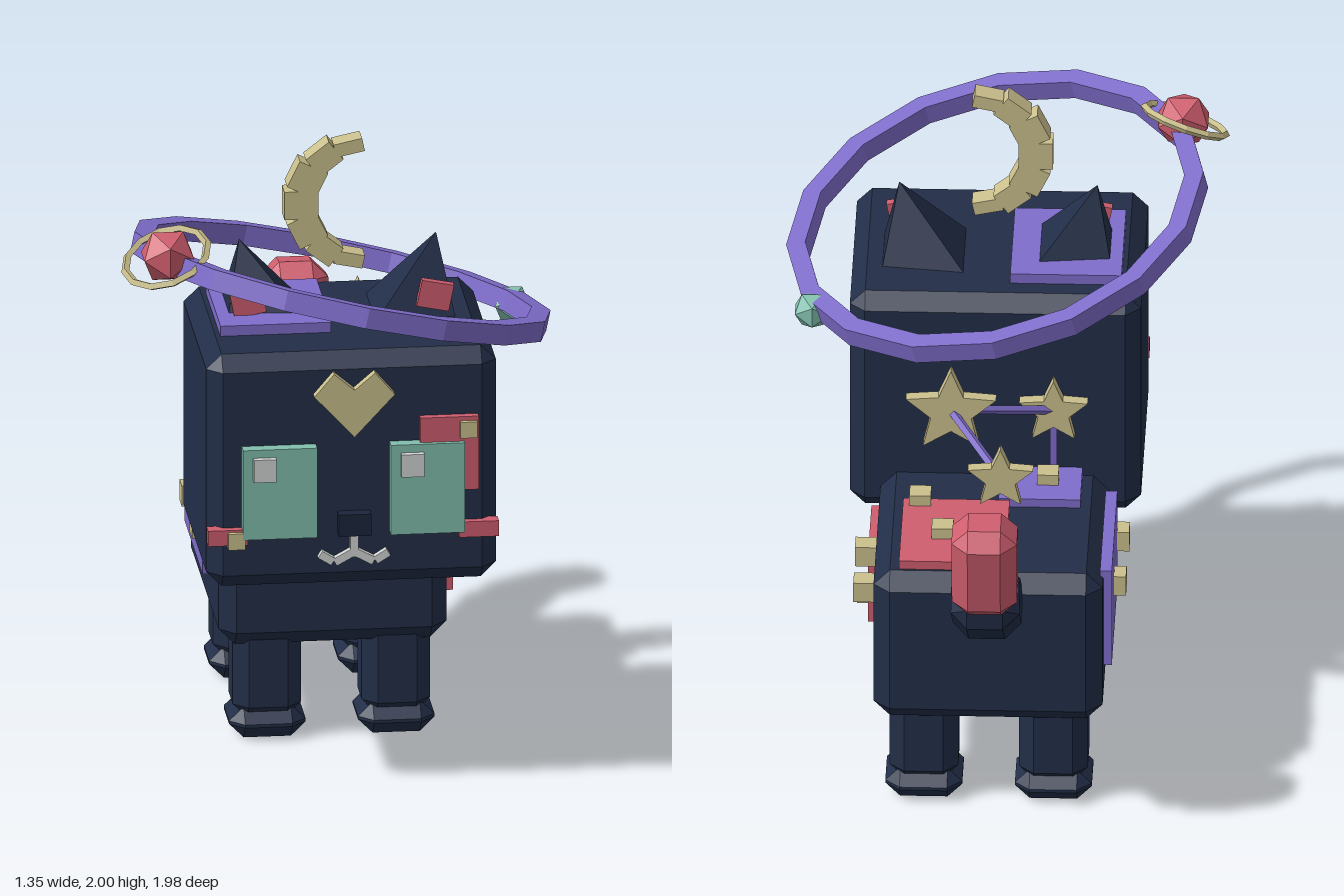
import * as THREE from 'three';
import { ConvexGeometry } from 'three/addons/geometries/ConvexGeometry.js';

const paint = (name, color) => {
  const m = new THREE.MeshStandardMaterial({ color });
  m.name = name;
  return m;
};

export function createModel() {
  const navy = paint('navy', 0x222e48);
  const darkNavy = paint('dark navy', 0x1b253b);
  const purple = paint('purple', 0x7f6dcb);
  const red = paint('coral red', 0xcf5e6e);
  const gold = paint('pale gold', 0xcbc08d);
  const teal = paint('teal', 0x82bfae);
  const white = paint('soft white', 0xd2d4d4);

  const model = new THREE.Group();
  model.name = 'blockCat';
  const CX = 0.03; // middle of the cat's body

  const add = (name, geo, mat, x, y, z) => {
    const mesh = new THREE.Mesh(geo, mat);
    mesh.name = name;
    mesh.position.set(x, y, z);
    model.add(mesh);
    return mesh;
  };
  const box = (name, mat, x, y, z, w, h, d) => add(name, new THREE.BoxGeometry(w, h, d), mat, x, y, z);
  const facet = (geo) => {
    const g = geo.index ? geo.toNonIndexed() : geo;
    g.computeVertexNormals();
    return g;
  };
  // Box with every edge and corner cut off by c
  const chamferBox = (w, h, d, c) => {
    const pts = [];
    for (const sx of [-1, 1]) for (const sy of [-1, 1]) for (const sz of [-1, 1]) {
      const x = w / 2, y = h / 2, z = d / 2;
      pts.push(new THREE.Vector3(sx * x, sy * (y - c), sz * (z - c)));
      pts.push(new THREE.Vector3(sx * (x - c), sy * y, sz * (z - c)));
      pts.push(new THREE.Vector3(sx * (x - c), sy * (y - c), sz * z));
    }
    return new ConvexGeometry(pts);
  };
  const extrude = (points, depth) => {
    const shape = new THREE.Shape(points.map(([x, y]) => new THREE.Vector2(x, y)));
    return new THREE.ExtrudeGeometry(shape, { depth, bevelEnabled: false }).translate(0, 0, -depth / 2);
  };
  const UP = new THREE.Vector3(0, 1, 0);
  const bar = (name, mat, a, b, t) => {
    const va = new THREE.Vector3(...a), vb = new THREE.Vector3(...b);
    const mid = va.clone().add(vb).multiplyScalar(0.5);
    const m = box(name, mat, mid.x, mid.y, mid.z, t, va.distanceTo(vb), t);
    m.quaternion.setFromUnitVectors(UP, vb.sub(va).normalize());
    return m;
  };

  // Body and head
  add('body', chamferBox(0.7, 0.51, 0.86, 0.05), navy, CX, 0.565, -0.21);
  add('head', chamferBox(0.89, 0.75, 0.72, 0.047), navy, CX, 1.057, 0.37);

  // Legs and paws
  for (const sx of [-1, 1]) for (const [end, z] of [['front', 0.08], ['back', -0.472]]) {
    add(end + 'Leg', chamferBox(0.21, 0.32, 0.21, 0.045), navy, CX + sx * 0.198, 0.22, z);
    add(end + 'Paw', chamferBox(0.235, 0.1, 0.235, 0.045), navy, CX + sx * 0.198, 0.05, z);
  }

  // Tail
  add('tailBase', chamferBox(0.21, 0.33, 0.21, 0.05), navy, CX, 0.798, -0.726).rotation.x = -0.927;
  add('tailTip', chamferBox(0.2, 0.325, 0.19, 0.05), red, CX, 1.01, -0.872).rotation.x = -0.16;

  // Ears, leaning outwards
  for (const sx of [-1, 1]) {
    const ear = add('ear', facet(new THREE.ConeGeometry(0.19, 0.28, 4).rotateY(Math.PI / 4)), navy,
      CX + sx * 0.268, 1.535, 0.31);
    ear.rotation.z = -sx * 0.25;
    const inner = box('innerEar', red, CX + sx * 0.288, 1.505, 0.415, 0.1, 0.085, 0.028);
    inner.rotation.z = -sx * 0.2;
  }

  // Eyes with glints
  for (const sx of [-1, 1]) {
    box('eye', teal, CX + sx * 0.227, 1.002, 0.745, 0.228, 0.29, 0.05);
    box('eyeGlint', white, CX - 0.018 + sx * 0.227 - 0.03, 1.085, 0.775, 0.07, 0.073, 0.03);
    box('cheek', red, CX + sx * 0.386, 0.86, 0.732, 0.122, 0.05, 0.045);
  }
  box('eyePatch', red, 0.325, 1.108, 0.738, 0.18, 0.237, 0.034);
  box('faceStud', gold, 0.383, 1.187, 0.75, 0.052, 0.052, 0.04);
  box('faceStud', gold, -0.33, 0.852, 0.745, 0.052, 0.052, 0.05);

  // Nose, mouth and forehead mark
  box('nose', darkNavy, 0.033, 0.892, 0.745, 0.1, 0.07, 0.05);
  box('mouthCentre', white, 0.033, 0.82, 0.74, 0.024, 0.07, 0.03);
  for (const sx of [-1, 1]) {
    const p = (dx, y) => [0.033 + sx * dx, y, 0.74];
    bar('mouthInner', white, p(0.005, 0.798), p(0.06, 0.768), 0.025);
    bar('mouthOuter', white, p(0.065, 0.77), p(0.105, 0.795), 0.025);
  }
  add('foreheadMark', extrude([[-0.124, 0], [0, -0.134], [0.124, 0], [0.063, 0.072], [0, 0.018], [-0.063, 0.072]], 0.04),
    gold, 0.033, 1.308, 0.74);

  // Coloured patches on head, back and flanks
  box('headPatch', purple, -0.183, 1.442, 0.318, 0.34, 0.045, 0.405);
  box('backPatchRed', red, 0.14, 0.83, -0.39, 0.325, 0.036, 0.385);
  box('backPatchPurple', purple, -0.113, 0.83, -0.085, 0.25, 0.036, 0.21);
  box('leftFlankPatch', red, 0.39, 0.543, -0.071, 0.04, 0.228, 0.312);
  box('rightFlankPatch', purple, -0.328, 0.63, -0.285, 0.036, 0.33, 0.49);

  // Small studs
  const studs = [
    [0.413, 0.49, -0.132], [0.413, 0.715, -0.298], [0.413, 0.672, -0.442],
    [-0.35, 0.635, -0.31], [-0.35, 0.63, -0.03],
    [0.175, 0.85, -0.41], [0.25, 0.85, -0.21], [-0.135, 0.85, -0.07],
  ];
  for (const [x, y, z] of studs) box('stud', gold, x, y, z, 0.066, 0.066, 0.066);

  // Tilted halo with a square section
  const R = 0.625, w = 0.03, h = 0.032;
  const section = [[R - w, -h], [R + w, -h], [R + w, h], [R - w, h], [R - w, -h]];
  const halo = add('halo', facet(new THREE.LatheGeometry(section.map(([x, y]) => new THREE.Vector2(x, y)), 16)),
    purple, 0.035, 1.535, 0.345);
  halo.quaternion.setFromUnitVectors(UP, new THREE.Vector3(0.235, 1, -0.165).normalize());

  // Ringed planet and small moon riding on the halo
  add('planet', new THREE.IcosahedronGeometry(0.09, 0), red, -0.525, 1.732, 0.612);
  const ring = add('planetRing', facet(new THREE.TorusGeometry(0.132, 0.013, 4, 12).rotateX(Math.PI / 2)),
    gold, -0.53, 1.728, 0.615);
  ring.quaternion.setFromUnitVectors(UP, new THREE.Vector3(-0.36, 1, 0.34).normalize());
  add('smallMoon', new THREE.IcosahedronGeometry(0.062, 0), teal, 0.59, 1.348, 0.078);

  // Crescent of blocks above the head, thickest in the middle
  for (let i = 0; i < 7; i++) {
    const t = i / 6;
    const a = THREE.MathUtils.degToRad(102 + 156 * t);
    const thick = 0.042 + 0.063 * Math.sin(Math.PI * t);
    const b = box('crescentBlock', gold, 0.1 + 0.185 * Math.cos(a), 1.785 + 0.185 * Math.sin(a), 0.315, thick, 0.09, 0.07);
    b.rotation.z = a;
  }

  // Constellation of stars joined by thin rods
  const stars = [[-0.15, 1.06, -0.01, 0.11], [0.155, 1.19, -0.245, 0.145], [-0.005, 1.1, -0.495, 0.105]];
  stars.forEach(([x, y, z, r], i) => {
    const pts = [];
    for (let k = 0; k < 10; k++) {
      const a = Math.PI / 2 + k * Math.PI / 5, rr = k % 2 ? r * 0.45 : r;
      pts.push([rr * Math.cos(a), rr * Math.sin(a)]);
    }
    add('star', extrude(pts, 0.04), gold, x, y, z);
    if (i > 0) bar('starRod', purple, stars[i - 1].slice(0, 3), [x, y, z], 0.02);
  });
  bar('starPost', purple, [-0.15, 0.83, -0.01], [-0.15, 1.06, -0.01], 0.02);

  return model;
}
